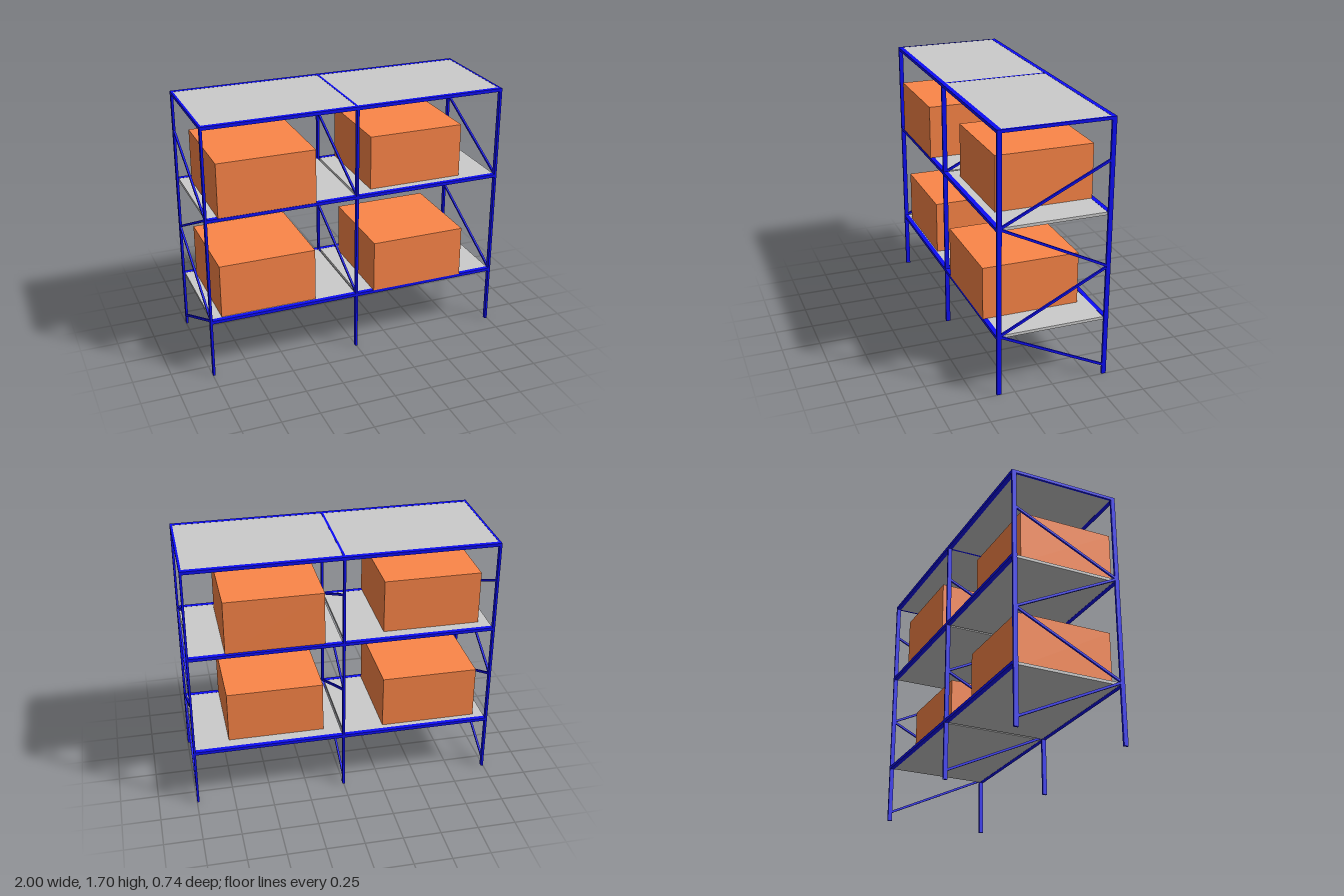
import * as THREE from 'three';

export function createModel() {
  const model = new THREE.Group();
  const blue = new THREE.MeshStandardMaterial({ color: 0x0c0cf5 });
  const grey = new THREE.MeshStandardMaterial({ color: 0xcccccc });
  const orange = new THREE.MeshStandardMaterial({ color: 0xfc8648 });

  const H = 1.7, postX = 0.992, postZ = 0.353, postW = 0.015, postD = 0.029;
  const levels = [0.402, 1.104, H]; // top of each shelf

  function box(name, mat, w, h, d, x, y, z, parent = model) {
    const mesh = new THREE.Mesh(new THREE.BoxGeometry(w, h, d), mat);
    mesh.name = name;
    mesh.position.set(x, y, z);
    parent.add(mesh);
    return mesh;
  }

  // Three upright frames: two posts, a top tie and zigzag bracing
  const zigzag = [[0.06, -1], [0.4, 1], [0.75, -1], [1.1, 1], [1.44, -1]];
  for (const x of [-postX, 0, postX]) {
    const frame = new THREE.Group();
    frame.name = 'uprightFrame';
    frame.position.x = x;
    model.add(frame);
    for (const s of [-1, 1]) box('post', blue, postW, H, postD, 0, H / 2, s * postZ, frame);
    box('topTie', blue, postW, 0.02, 2 * postZ - postD, 0, H - 0.01, 0, frame);
    for (let i = 0; i < zigzag.length - 1; i++) {
      const [y0, s0] = zigzag[i], [y1, s1] = zigzag[i + 1];
      const dy = y1 - y0, dz = (s1 - s0) * postZ;
      const brace = box('brace', blue, 0.013, 0.015, Math.hypot(dy, dz), 0, (y0 + y1) / 2, 0, frame);
      brace.rotation.x = -Math.atan2(dy, dz);
    }
  }

  // Long beams front and back, and two shelf panels per level
  for (const y of levels) {
    for (const s of [-1, 1]) {
      box('beam', blue, 2 * postX + postW, 0.021, postD + 0.001, 0, y - 0.0105, s * postZ);
      const inner = postW / 2, outer = postX - postW / 2;
      box('shelfPanel', grey, outer - inner, 0.019, 2 * postZ - postD,
        s * (inner + outer) / 2, y - 0.0105, 0);
    }
  }

  // Stored boxes: [x centre, shelf height, top, front z]
  const crates = [
    [-0.597, levels[0], 0.758, 0.333],
    [0.438, levels[0], 0.748, 0.369],
    [-0.597, levels[1], 1.46, 0.365],
    [0.438, levels[1], 1.46, 0.29],
  ];
  for (const [x, y, top, front] of crates) {
    box('storageBox', orange, 0.636, top - y, 0.636, x, (y + top) / 2, front - 0.318);
  }

  return model;
}
